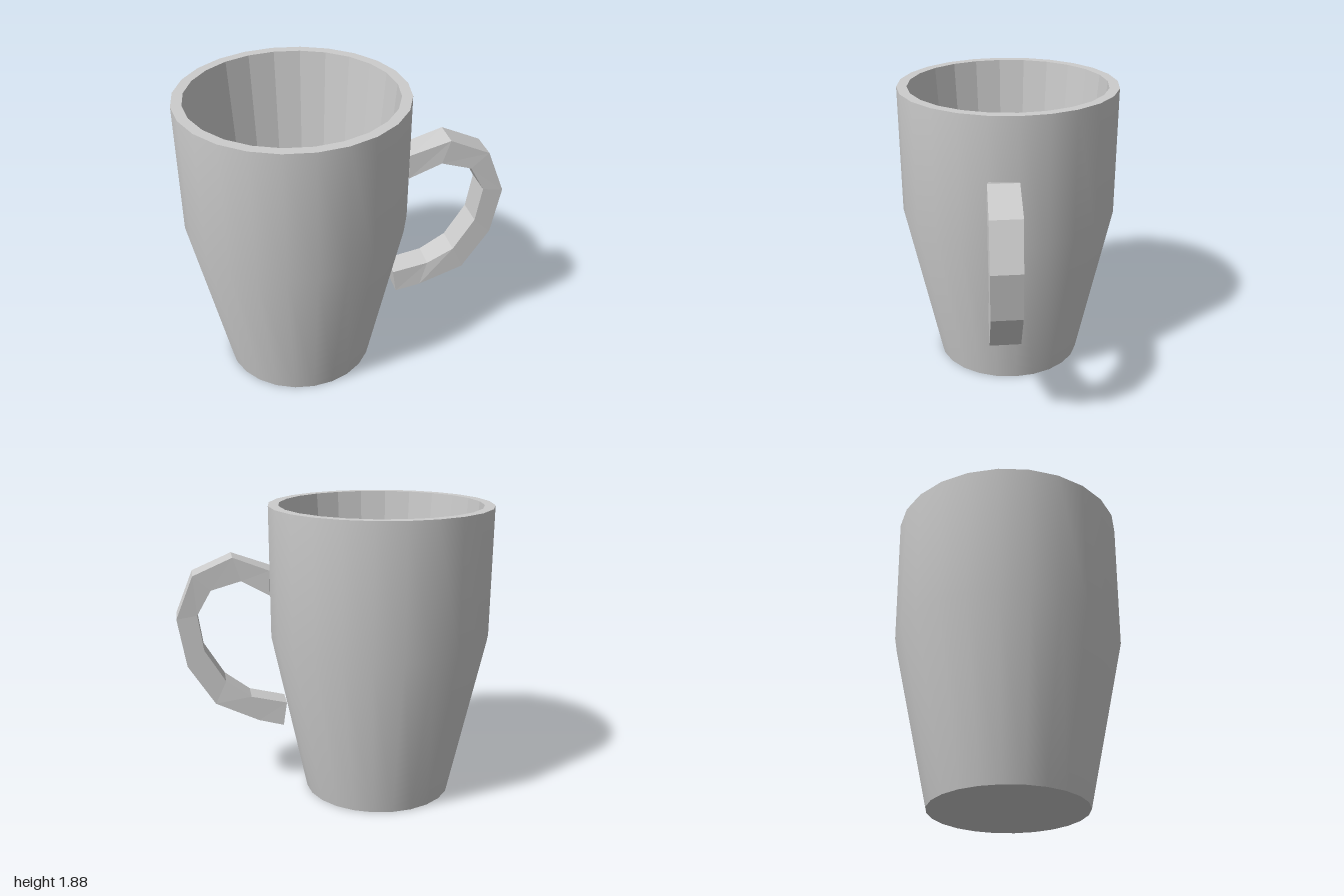
import * as THREE from 'three';

const SIDES = 24;
const CUP_X = -0.295;

// Revolve a short [radius, height] profile
function lathe(name, profile, flatShading) {
  const points = profile.map(([r, y]) => new THREE.Vector2(r, y));
  const material = new THREE.MeshStandardMaterial({ color: 0xcccccc, flatShading });
  const mesh = new THREE.Mesh(new THREE.LatheGeometry(points, SIDES), material);
  mesh.name = name;
  return mesh;
}

// Four-cornered sections swept along the handle:
// [outer x, outer y, inner x, inner y, back z, front z]
function handleGeometry() {
  const sections = [
    [0.385, 1.48, 0.385, 1.32, 0.0, 0.18],
    [0.635, 1.565, 0.585, 1.415, 0.02, 0.205],
    [0.885, 1.455, 0.775, 1.36, 0.025, 0.215],
    [0.995, 1.18, 0.865, 1.2, 0.035, 0.22],
    [0.94, 0.87, 0.83, 0.97, 0.03, 0.215],
    [0.77, 0.61, 0.7, 0.76, 0.025, 0.21],
    [0.495, 0.485, 0.54, 0.65, 0.01, 0.18],
    [0.335, 0.445, 0.312, 0.6, 0.0, 0.165],
  ];
  const positions = [];
  sections.forEach(([ox, oy, ix, iy, z0, z1], i) => {
    const dx = i === 0 ? 0.024 : 0; // the upper end follows the cup's curve
    positions.push(ox, oy, z1, ox + dx, oy, z0, ix + dx, iy, z0, ix, iy, z1);
  });
  const index = [0, 1, 2, 0, 2, 3];
  const last = (sections.length - 1) * 4;
  for (let i = 0; i < last; i += 4) {
    for (let k = 0; k < 4; k++) {
      const a = i + k, b = i + ((k + 1) % 4);
      index.push(a, a + 4, b + 4, a, b + 4, b);
    }
  }
  index.push(last, last + 2, last + 1, last, last + 3, last + 2);
  const geometry = new THREE.BufferGeometry();
  geometry.setAttribute('position', new THREE.Float32BufferAttribute(positions, 3));
  geometry.setIndex(index);
  const flat = geometry.toNonIndexed();
  flat.computeVertexNormals();
  return flat;
}

export function createModel() {
  const model = new THREE.Group();
  model.name = 'mug';

  // Cup: smooth outside, faceted inside, flat underside
  const cup = new THREE.Group();
  cup.name = 'cup';
  cup.position.x = CUP_X;
  cup.add(
    lathe('outerWall', [[0.477, 0], [0.7, 1.05], [0.705, 1.88]], false),
    lathe('rimAndInside', [[0.705, 1.88], [0.64, 1.88], [0.49, 0.2], [0, 0.2]], true),
    lathe('base', [[0, 0], [0.477, 0]], true),
  );
  model.add(cup);

  // Handle
  const handle = new THREE.Mesh(
    handleGeometry(),
    new THREE.MeshStandardMaterial({ color: 0xcccccc, flatShading: true }),
  );
  handle.name = 'handle';
  model.add(handle);

  return model;
}
